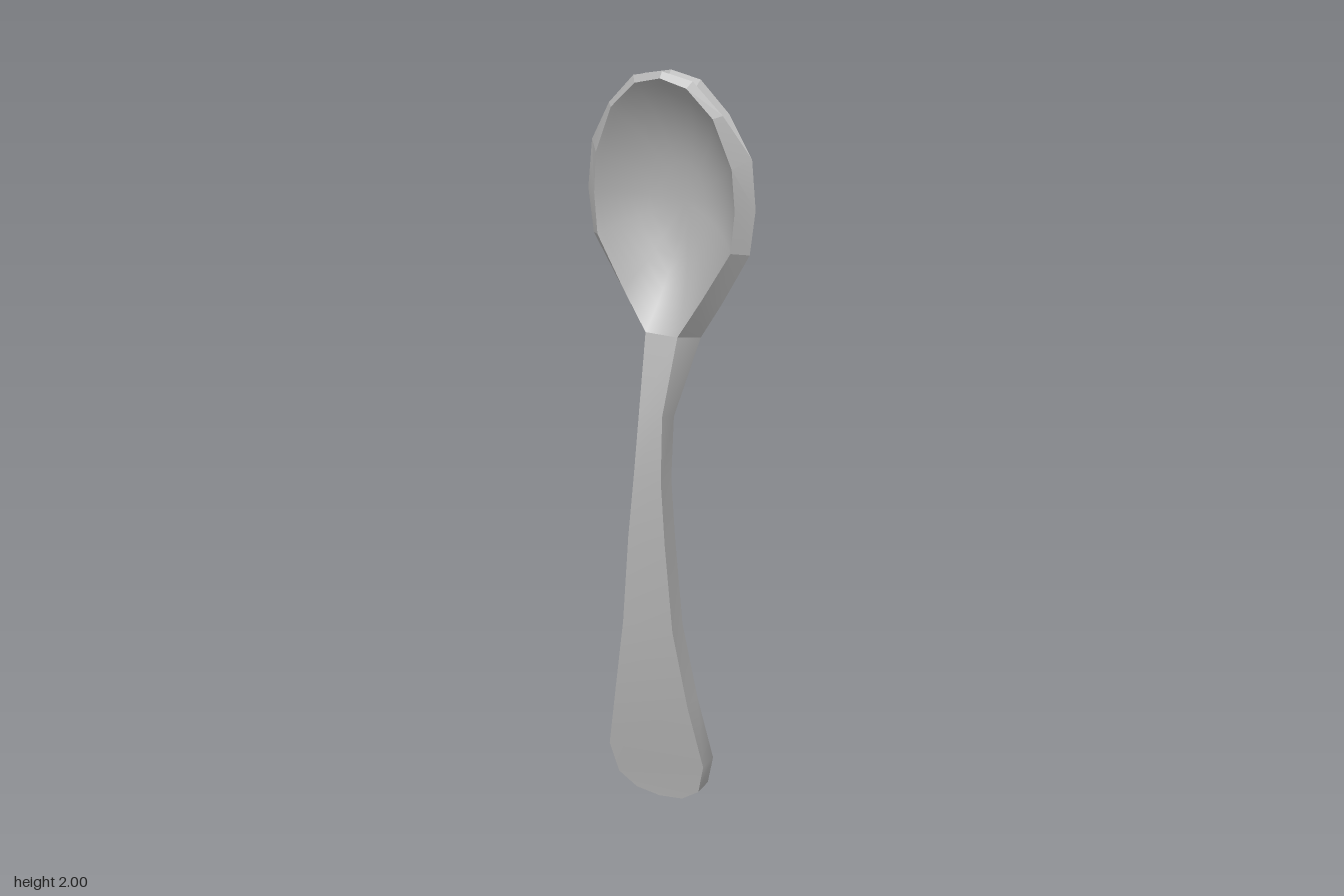
import * as THREE from 'three';
import { toCreasedNormals } from 'three/addons/utils/BufferGeometryUtils.js';

// Skin a list of rings (each a list of [x, y, z]); closed rings wrap round.
function loft(rings, closed, crease) {
  const n = rings[0].length, positions = [], tri = new THREE.Triangle();
  const add = (...pts) => {
    tri.set(...pts.map((p) => new THREE.Vector3(...p)));
    if (tri.getArea() > 1e-8) pts.forEach((p) => positions.push(...p));
  };
  for (let i = 0; i < rings.length - 1; i++) {
    for (let j = 0; j < (closed ? n : n - 1); j++) {
      const k = (j + 1) % n, a = rings[i], b = rings[i + 1];
      add(a[j], a[k], b[k]);
      add(a[j], b[k], b[j]);
    }
  }
  const g = new THREE.BufferGeometry();
  g.setAttribute('position', new THREE.Float32BufferAttribute(positions, 3));
  return toCreasedNormals(g, crease);
}

// Half outline from bottom centre to top centre, mirrored into a full loop.
function mirrorLoop(half) {
  return [...half, ...half.slice(1, -1).reverse().map(([x, y, z]) => [-x, y, z])];
}

// Rings of a dish, from its outline down to its deepest point.
function dishRings(outline, cy, depth, power) {
  const rings = [];
  for (let s = 0; s <= 10; s++) {
    const t = Math.cos((s / 10) * Math.PI / 2);
    const k = s === 10 ? 0 : t;
    rings.push(outline.map(([x, y, z]) => [
      x * k, cy + (y - cy) * k, z + (depth - z) * (1 - Math.pow(k, power)),
    ]));
  }
  return rings;
}

export function createModel() {
  const group = new THREE.Group();
  const steel = new THREE.MeshStandardMaterial({ color: 0xb2b2b2 });
  steel.name = 'brushed steel';
  const add = (name, geometry) => {
    const mesh = new THREE.Mesh(geometry, steel);
    mesh.name = name;
    group.add(mesh);
  };

  // Handle stations: front y, back y, front z, back z, front half width, back half width
  const stations = [
    [0.002, 0.0, 0.05, -0.008, 0, 0],
    [0.012, 0.01, 0.051, -0.007, 0.07, 0.07],
    [0.05, 0.05, 0.056, -0.002, 0.122, 0.122],
    [0.14, 0.14, 0.07, 0.01, 0.143, 0.143],
    [0.33, 0.33, 0.097, 0.037, 0.108, 0.108],
    [0.55, 0.55, 0.115, 0.057, 0.073, 0.073],
    [0.8, 0.8, 0.12, 0.062, 0.053, 0.053],
    [0.97, 0.96, 0.114, 0.056, 0.039, 0.039],
    [1.14, 1.12, 0.095, 0.032, 0.033, 0.034],
    [1.335, 1.32, 0.035, -0.03, 0.045, 0.078],
  ];
  add('handle', loft(stations.map(([yf, yb, zf, zb, wf, wb]) => [
    [-wf, yf, zf], [wf, yf, zf], [wb, yb, zb], [-wb, yb, zb],
  ]), true, 0.5));

  // Bowl outlines: front lip and widest edge
  const lip = mirrorLoop([
    [0, 1.335, 0.035], [0.045, 1.335, 0.035], [0.11, 1.44, 0.032], [0.185, 1.57, 0.026],
    [0.194, 1.675, 0.024], [0.186, 1.78, 0.027], [0.138, 1.9, 0.035],
    [0.07, 1.967, 0.04], [0, 1.985, 0.042],
  ]);
  const edgeLow = [
    [0, 1.32, -0.03], [0.078, 1.32, -0.03], [0.14, 1.42, -0.022], [0.218, 1.56, -0.014],
    [0.232, 1.675, -0.014], [0.22, 1.8, -0.015],
  ];
  const backEdge = mirrorLoop([...edgeLow, [0.152, 1.9, -0.028], [0.078, 1.978, -0.021], [0, 1.995, -0.018]]);
  const frontEdge = mirrorLoop([...edgeLow, [0.155, 1.905, 0.014], [0.08, 1.983, 0.026], [0, 2.0, 0.031]]);
  const groove = mirrorLoop([...edgeLow, [0.145, 1.885, -0.008], [0.073, 1.957, 0.004], [0, 1.973, 0.008]]);

  add('bowlBack', loft(dishRings(backEdge, 1.64, -0.12, 2.5).reverse(), true, 1));
  add('bowlInside', loft(dishRings(lip, 1.65, -0.09, 2.3), true, 1));
  add('rim', loft([frontEdge, lip], true, 0.2));

  // Shallow groove round the tip of the bowl
  const tip = (loop) => loop.slice(5, 12);
  add('tipGroove', loft([backEdge, groove, frontEdge].map(tip), false, 0.2));

  return group;
}
